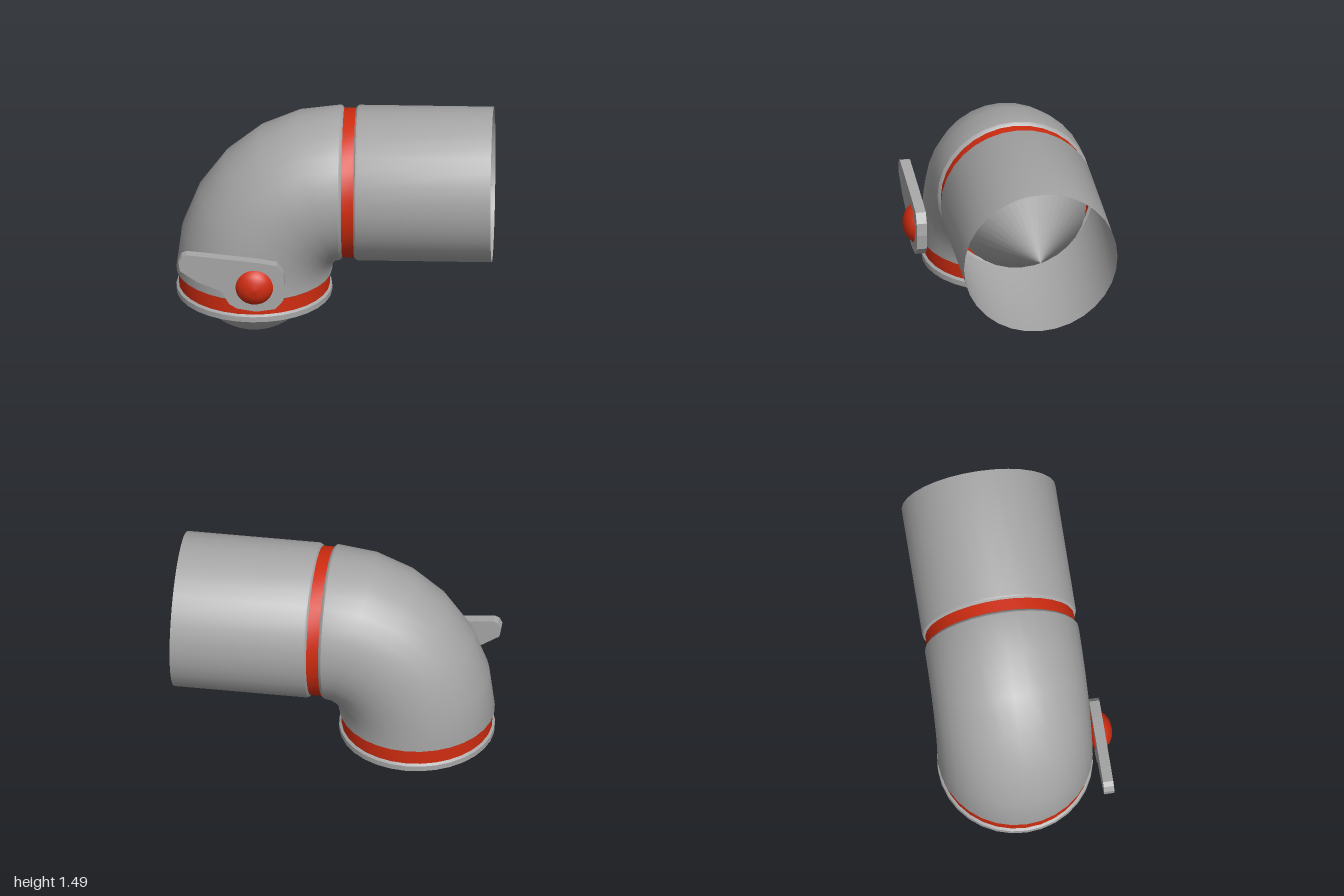
import * as THREE from 'three';
import { toCreasedNormals } from 'three/addons/utils/BufferGeometryUtils.js';
import { ParametricGeometry } from 'three/addons/geometries/ParametricGeometry.js';

const SIDES = 32;
const BEND = { x: 0.03, y: 0.4, rx: 0.54, ry: 0.6 }; // centre and radii of the elbow path
const AXIS_X = BEND.x - BEND.rx; // axis of the lower leg
const AXIS_Y = BEND.y + BEND.ry; // axis of the upper pipe
const AXIS_Z = -0.065;

export function createModel() {
  const grey = new THREE.MeshStandardMaterial({ color: 0xa6a6a6, side: THREE.DoubleSide });
  grey.name = 'grey metal';
  const red = new THREE.MeshStandardMaterial({ color: 0xd02c10, side: THREE.DoubleSide });
  red.name = 'red paint';

  const model = new THREE.Group();
  model.name = 'pipeElbow';

  const add = (name, geometry, material, x = 0, y = 0, z = 0) => {
    const mesh = new THREE.Mesh(geometry, material);
    mesh.name = name;
    mesh.position.set(x, y, z);
    model.add(mesh);
  };

  // Turned part from [radius, distance along the axis] pairs
  const turned = (points, smooth = false) => {
    const g = new THREE.LatheGeometry(points.map(([r, h]) => new THREE.Vector2(r, h)), SIDES);
    return smooth ? g : toCreasedNormals(g, 0.5);
  };
  const alongX = (name, points, material, smooth) =>
    add(name, turned(points, smooth).rotateZ(-Math.PI / 2), material, 0, AXIS_Y, AXIS_Z);
  const alongY = (name, points, material, smooth) =>
    add(name, turned(points, smooth), material, AXIS_X, 0, AXIS_Z);

  // Quarter bend of a round pipe
  const bend = (r, steps) => new ParametricGeometry((u, v, p) => {
    const a = u * Math.PI * 2;
    const t = v * Math.PI / 2;
    const out = r * Math.cos(a);
    p.set(
      BEND.x - (BEND.rx + out) * Math.cos(t),
      BEND.y + (BEND.ry + out) * Math.sin(t),
      AXIS_Z + r * Math.sin(a)
    );
  }, SIDES, steps);

  // Outer elbow with its chamfered ends
  add('elbow', bend(0.49, 6), grey);
  alongX('elbowUpperLip', [[0.49, 0.03], [0.485, 0.04], [0.472, 0.05]], grey);
  alongY('elbowLowerLip', [[0.475, 0.39], [0.49, 0.4]], grey);

  // Upper pipe and its band
  alongX('upperBand', [[0.472, 0.05], [0.472, 0.125]], red);
  alongX('upperPipe', [[0.472, 0.125], [0.485, 0.135], [0.49, 0.147], [0.49, 0.99]], grey);

  // Lower band and flange
  alongY('lowerBand', [[0.475, 0.295], [0.475, 0.392]], red);
  alongY('lowerFlange', [[0.415, 0.32], [0.45, 0.32], [0.45, 0.25], [0.49, 0.25],
    [0.49, 0.285], [0.475, 0.297]], grey);

  // Inner core: a bend, a pointed nose in the pipe and a faceted dome below
  add('coreBend', bend(0.415, 6), grey);
  alongX('coreNose', [[0.415, 0.03], [0.415, 0.29], [0, 0.99]], grey, true);
  const dome = new THREE.SphereGeometry(0.395, SIDES, 10, 0, Math.PI * 2, Math.PI / 2, Math.PI / 2)
    .toNonIndexed();
  dome.computeVertexNormals();
  add('coreDome', dome, grey, AXIS_X, 0.4, AXIS_Z);

  // Lever plate on the front
  const outline = [
    [-0.97, 0.7], [-0.95, 0.735], [-0.92, 0.747], [-0.82, 0.738], [-0.47, 0.7], [-0.35, 0.68],
    [-0.31, 0.62], [-0.3, 0.54], [-0.31, 0.44], [-0.36, 0.38], [-0.48, 0.36], [-0.6, 0.38],
    [-0.65, 0.41], [-0.7, 0.5], [-0.85, 0.56], [-0.96, 0.635],
  ].map(([x, y]) => new THREE.Vector2(x, y));
  const lever = new THREE.ExtrudeGeometry(new THREE.Shape(outline), { depth: 0.065, bevelEnabled: false });
  add('lever', lever, grey, 0, 0, 0.432);

  // Rounded knob through the lever
  const knob = turned([[0, 0.412], [0.07, 0.414], [0.12, 0.43], [0.125, 0.465], [0.12, 0.495],
    [0.09, 0.527], [0.05, 0.548], [0, 0.554]], true).rotateX(Math.PI / 2);
  add('leverKnob', knob, red, -0.492, 0.528, 0);

  return model;
}
